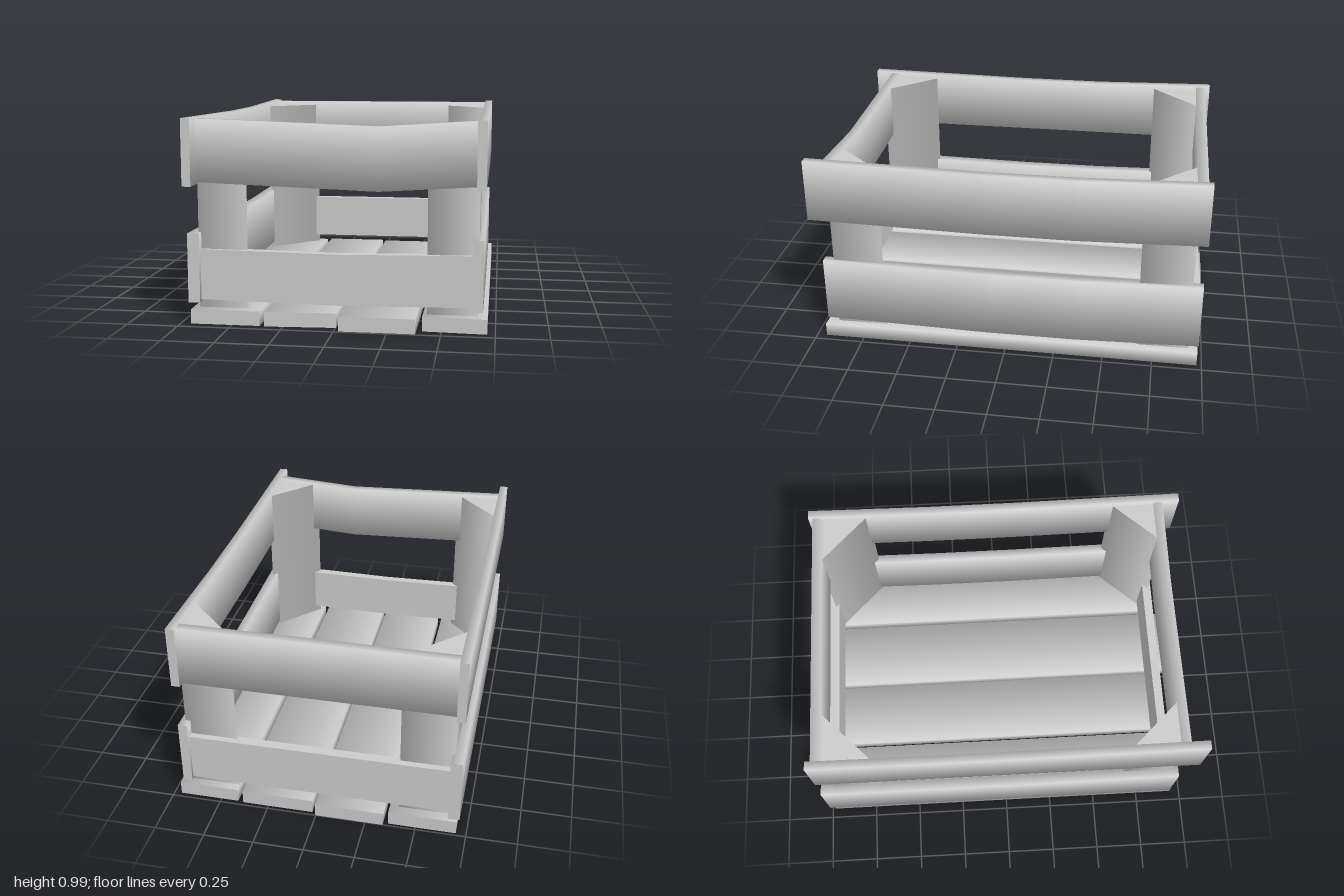
import * as THREE from 'three';

const grey = new THREE.MeshStandardMaterial({ color: 0xcccccc });

// Prism through matching cross-section loops, counter-clockwise seen from the far end.
// Long edges are softly shaded unless flat; the two ends stay crisp.
function loft(name, rings, flat = false) {
  const group = new THREE.Group();
  group.name = name;
  const n = rings[0].length;
  const vec = (p) => new THREE.Vector3(...p);
  const axis = vec(rings[rings.length - 1][0]).sub(vec(rings[0][0])).normalize();
  const edgeNormal = (ring, j) =>
    vec(ring[(j + 1) % n]).sub(vec(ring[j % n])).cross(axis).normalize();

  const add = (part, points, index, normals) => {
    let geo = new THREE.BufferGeometry();
    geo.setAttribute('position', new THREE.Float32BufferAttribute(points.flat(), 3));
    geo.setIndex(index);
    if (normals) {
      geo.setAttribute('normal', new THREE.Float32BufferAttribute(normals, 3));
    } else {
      geo = geo.toNonIndexed();
      geo.computeVertexNormals();
    }
    const mesh = new THREE.Mesh(geo, grey);
    mesh.name = name + part;
    group.add(mesh);
  };

  const side = [], ends = [];
  for (let i = 0; i < rings.length - 1; i++) {
    for (let j = 0; j < n; j++) {
      const a = i * n + j, b = i * n + (j + 1) % n;
      side.push(a, b, a + n, b, b + n, a + n);
    }
  }
  for (let j = 1; j < n - 1; j++) ends.push(0, j + 1, j, n, n + j, n + j + 1);
  const soft = rings.flatMap((ring) => ring.flatMap((p, j) =>
    edgeNormal(ring, j).add(edgeNormal(ring, j + n - 1)).normalize().toArray()));
  add('Faces', rings.flat(), side, flat ? null : soft);
  add('Ends', [...rings[0], ...rings[rings.length - 1]], ends, null);
  return group;
}

// Plank along z; stations are [z, top offset, bottom offset]
const plankZ = (name, x0, x1, y0, y1, stations) => loft(name, stations.map(([z, t, b]) => [
  [x0, y0 + b, z], [x1, y0 + b, z], [x1, y1 + t, z], [x0, y1 + t, z]]));

// Plank along x; stations are [x, vertical offset]
const plankX = (name, z0, z1, y0, y1, stations, flat) => loft(name, stations.map(([x, d]) => [
  [x, y0 + d, z0], [x, y1 + d, z0], [x, y1 + d, z1], [x, y0 + d, z1]]), flat);

export function createModel() {
  const crate = new THREE.Group();
  crate.name = 'crate';

  // Floor boards: x range, back end, front end at each edge
  [
    [-0.70, -0.363, -0.985, 0.945, 0.945],
    [-0.34, 0.002, -1.0, 0.95, 0.93],
    [0.022, 0.383, -0.98, 0.99, 0.99],
    [0.41, 0.713, -0.975, 0.935, 0.95],
  ].forEach(([x0, x1, back, f0, f1], i) => crate.add(loft('floorBoard' + (i + 1), [
    [[x0, 0, back], [x1, 0, back], [x1, 0.07, back], [x0, 0.07, back]],
    [[x0, 0, f0], [x1, 0, f1], [x1, 0.07, f1], [x0, 0.07, f0]],
  ])));

  // Triangular corner posts
  for (const [name, sx, z, dz] of [
    ['frontLeftPost', 1, 0.89, -0.26], ['frontRightPost', -1, 0.89, -0.26],
    ['backLeftPost', 1, -0.93, 0.26], ['backRightPost', -1, -0.93, 0.26],
  ]) {
    const plan = [[sx * 0.67, z], [sx * 0.67, z + dz], [sx * (z > 0 ? 0.43 : 0.408), z]];
    if (sx * dz > 0) plan.reverse();
    crate.add(loft(name, [0.07, 0.96].map((y) => plan.map(([x, pz]) => [x, y, pz]))));
  }

  // Side planks: the left ones sag, the right ones dip along the top only
  const sag = (back, front, top, bottom) =>
    [[back, 0, 0], [-0.35, -top, -bottom], [0.1, -top, -bottom], [front, 0, 0]];
  crate.add(plankZ('upperLeftPlank', 0.657, 0.7, 0.672, 0.99, sag(-0.985, 0.995, 0.017, 0.017)));
  crate.add(plankZ('upperRightPlank', -0.713, -0.67, 0.67, 0.99, sag(-0.99, 1.0, 0.015, 0)));
  crate.add(plankZ('lowerLeftPlank', 0.645, 0.692, 0.1, 0.437, sag(-0.98, 0.94, 0.014, 0.018)));
  crate.add(plankZ('lowerRightPlank', -0.715, -0.657, 0.1, 0.437, sag(-1.0, 0.93, 0.012, 0)));

  // End planks
  const bowed = [[-0.66, 0], [0, -0.01], [0.65, 0]];
  const straight = [[-0.66, 0], [0.65, 0]];
  crate.add(plankX('upperFrontPlank', 0.86, 0.907, 0.68, 0.982, [[-0.67, 0], [0.2, -0.03], [0.66, 0]]));
  crate.add(plankX('upperBackPlank', -0.963, -0.912, 0.68, 0.982, [[-0.67, 0], [0.66, 0]]));
  crate.add(plankX('lowerFrontPlank', 0.86, 0.907, 0.112, 0.358, bowed, true));
  crate.add(plankX('lowerBackPlank', -0.963, -0.912, 0.112, 0.36, straight, true));

  return crate;
}
